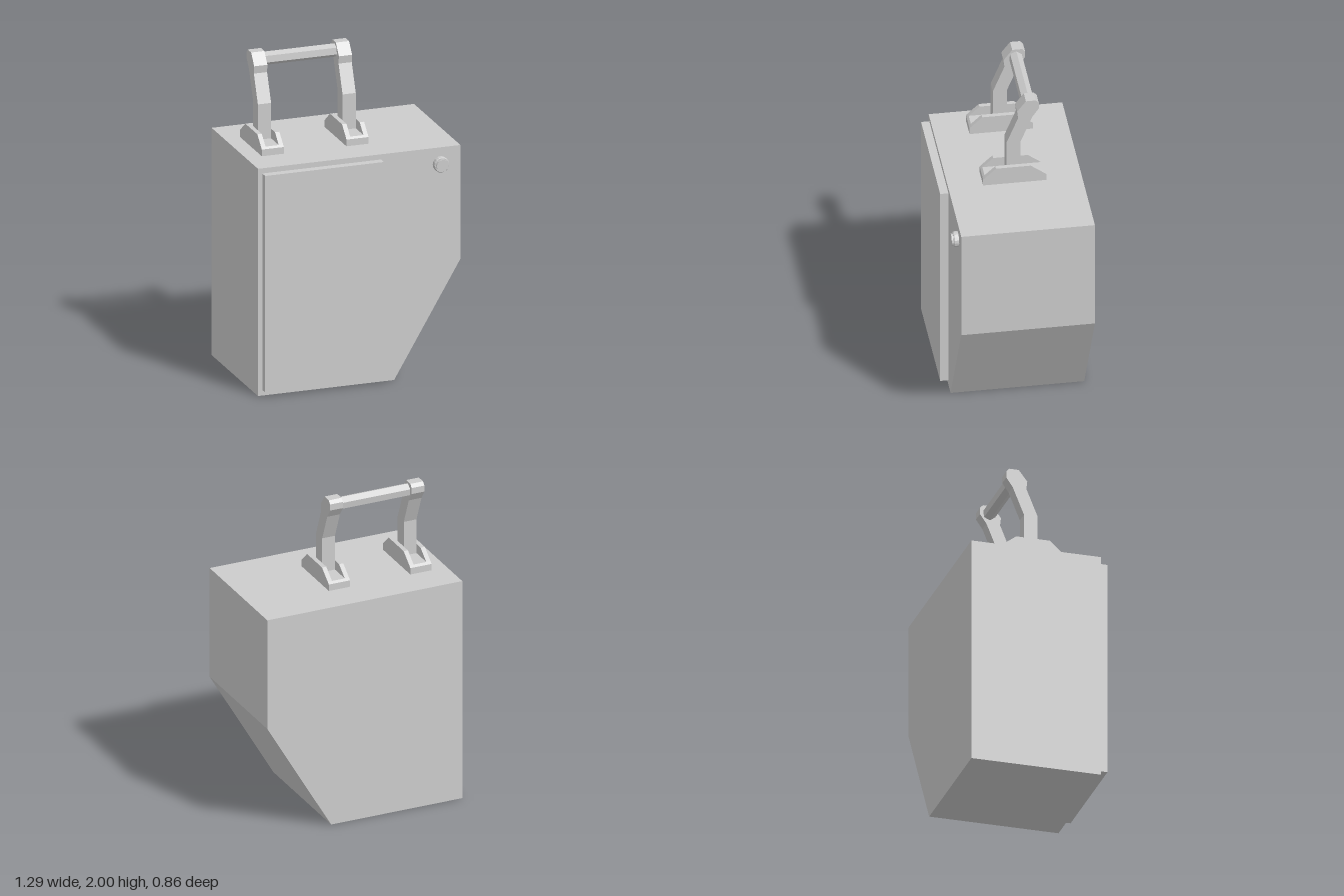
import * as THREE from 'three';

const material = new THREE.MeshStandardMaterial({ color: 0xcccccc, flatShading: true });

function add(parent, name, geometry) {
  const mesh = new THREE.Mesh(geometry, material);
  mesh.name = name;
  parent.add(mesh);
  return mesh;
}

function extrude(points, depth) {
  const shape = new THREE.Shape(points.map(([a, b]) => new THREE.Vector2(a, b)));
  return new THREE.ExtrudeGeometry(shape, { depth, bevelEnabled: false });
}

// Side profile in (z, y), spanning x0 to x1
function sideProfile(points, x0, x1) {
  return extrude(points, x1 - x0).rotateY(-Math.PI / 2).translate(x1, 0, 0);
}

export function createModel() {
  const model = new THREE.Group();
  model.name = 'case';

  // Main case with one slanted lower corner
  const outline = [[-0.643, 0], [0.222, 0], [0.643, 0.715], [0.643, 1.433], [-0.643, 1.433]];
  add(model, 'body', extrude(outline, 0.807).translate(0, 0, -0.43));

  // Raised front panel
  add(model, 'frontPanel', new THREE.BoxGeometry(0.755, 1.365, 0.06)).position.set(-0.238, 0.718, 0.397);

  // Round button with a chamfered rim
  const knob = [[0.048, 0], [0.048, 0.025], [0.044, 0.031], [0.037, 0.031], [0.037, 0.043], [0, 0.043]]
    .map(([r, h]) => new THREE.Vector2(r, h));
  add(model, 'button', new THREE.LatheGeometry(knob, 16).rotateX(Math.PI / 2)).position.set(0.515, 1.33, 0.377);

  // Carrying handle: slotted brackets, bent arms and a hexagonal grip
  const handle = new THREE.Group();
  handle.name = 'handle';
  model.add(handle);
  const foot = [[0.167, 1.433], [0.167, 1.475], [0.155, 1.487], [-0.2, 1.487], [-0.215, 1.475], [-0.215, 1.433]];
  const cheek = [[0.155, 1.487], [0.09, 1.547], [-0.12, 1.547], [-0.2, 1.487]];
  const arm = [
    [0.022, 1.487], [0.022, 1.71], [-0.048, 1.882], [-0.042, 1.93], [-0.095, 2], [-0.155, 2],
    [-0.173, 1.98], [-0.173, 1.94], [-0.133, 1.882], [-0.063, 1.71], [-0.063, 1.487],
  ];
  for (const [side, x] of [['right', -0.472], ['left', 0.066]]) {
    const support = new THREE.Group();
    support.name = side + 'Support';
    support.position.x = x;
    handle.add(support);
    add(support, 'bracketBase', sideProfile(foot, -0.07, 0.07));
    add(support, 'bracketCheekOuter', sideProfile(cheek, -0.07, -0.042));
    add(support, 'bracketCheekInner', sideProfile(cheek, 0.042, 0.07));
    add(support, 'arm', sideProfile(arm, -0.042, 0.042));
  }
  const grip = new THREE.CylinderGeometry(0.041, 0.041, 0.47, 6, 1, false, THREE.MathUtils.degToRad(37));
  add(handle, 'grip', grip.rotateZ(Math.PI / 2)).position.set(-0.203, 1.947, -0.115);

  return model;
}
